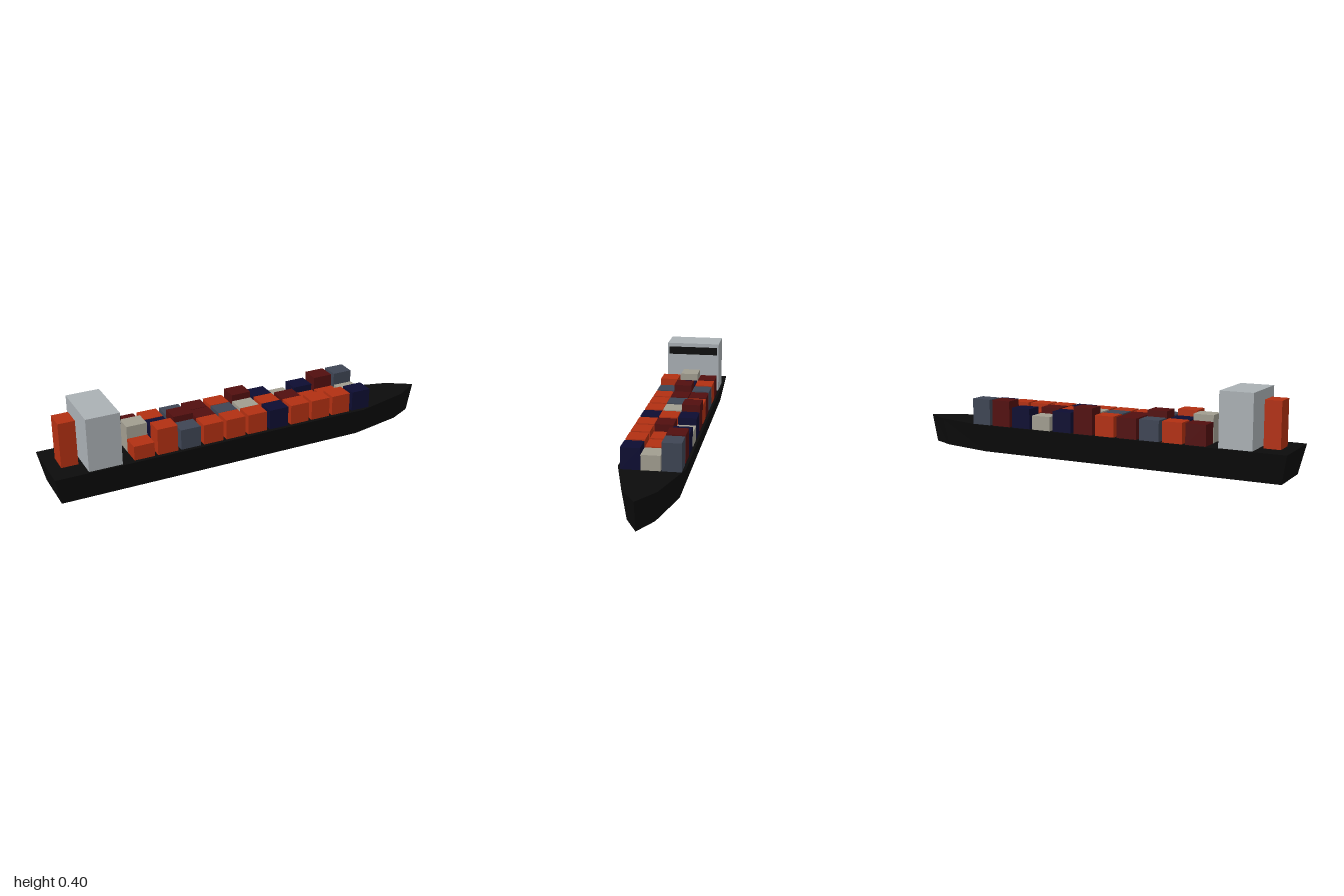
import * as THREE from 'three';

const paint = (name, color) => {
  const m = new THREE.MeshStandardMaterial({ color });
  m.name = name;
  return m;
};

export function createModel() {
  const ship = new THREE.Group();
  ship.name = 'containerShip';
  const mats = {
    hull: paint('hullBlack', 0x0b0b0b),
    grey: paint('bridgeGrey', 0xaab0b4),
    O: paint('orangeRed', 0xb23012),
    R: paint('darkRed', 0x520f0f),
    N: paint('navy', 0x0d0d32),
    S: paint('slate', 0x3e4554),
    B: paint('beige', 0xa19d90),
  };
  const deck = 0.14;

  const box = (name, mat, w, h, d, x, y, z, parent = ship) => {
    const mesh = new THREE.Mesh(new THREE.BoxGeometry(w, h, d), mat);
    mesh.name = name;
    mesh.position.set(x, y + h / 2, z);
    parent.add(mesh);
  };

  // Hull: deck outline extruded upward, then narrowed at the keel
  const outline = [[-1, -0.15], [0.6, -0.15], [0.88, -0.075], [1, 0], [0.88, 0.075], [0.6, 0.15], [-1, 0.15]];
  const hullShape = new THREE.Shape(outline.map(([x, y]) => new THREE.Vector2(x, y)));
  const hullGeo = new THREE.ExtrudeGeometry(hullShape, { depth: deck, bevelEnabled: false });
  hullGeo.rotateX(-Math.PI / 2);
  const p = hullGeo.attributes.position;
  for (let i = 0; i < p.count; i++) {
    if (p.getY(i) < deck / 2) p.setXYZ(i, p.getX(i) * 0.97, 0, p.getZ(i) * 0.8);
  }
  hullGeo.computeVertexNormals();
  const hull = new THREE.Mesh(hullGeo, mats.hull);
  hull.name = 'hull';
  ship.add(hull);

  // Bridge tower, its forward window band and the funnel
  box('bridge', mats.grey, 0.16, 0.26, 0.28, -0.76, deck, 0);
  box('bridgeWindow', mats.hull, 0.008, 0.04, 0.26, -0.679, 0.34, 0);
  box('funnel', mats.O, 0.08, 0.22, 0.1, -0.9, deck, 0);

  // Containers: colours and heights (in hundredths) listed from stern to bow
  const cargo = new THREE.Group();
  cargo.name = 'containers';
  ship.add(cargo);
  const rows = [
    { z: -0.094, colours: 'ROSRORNBNRS', heights: [10, 10, 10, 10, 10, 13, 10, 7, 10, 13, 13] },
    { z: -0.002, colours: 'BNRRSBOROOB', heights: [13, 10, 13, 10, 10, 10, 10, 10, 7, 7, 7] },
    { z: 0.087, colours: 'OOSOOONOOON', heights: [7, 13, 10, 10, 10, 10, 10, 10, 10, 10, 10] },
  ];
  for (const { z, colours, heights } of rows) {
    heights.forEach((h, i) =>
      box('container', mats[colours[i]], 0.1, h / 100, 0.088, -0.57 + i * 0.116, deck, z, cargo));
  }
  return ship;
}
